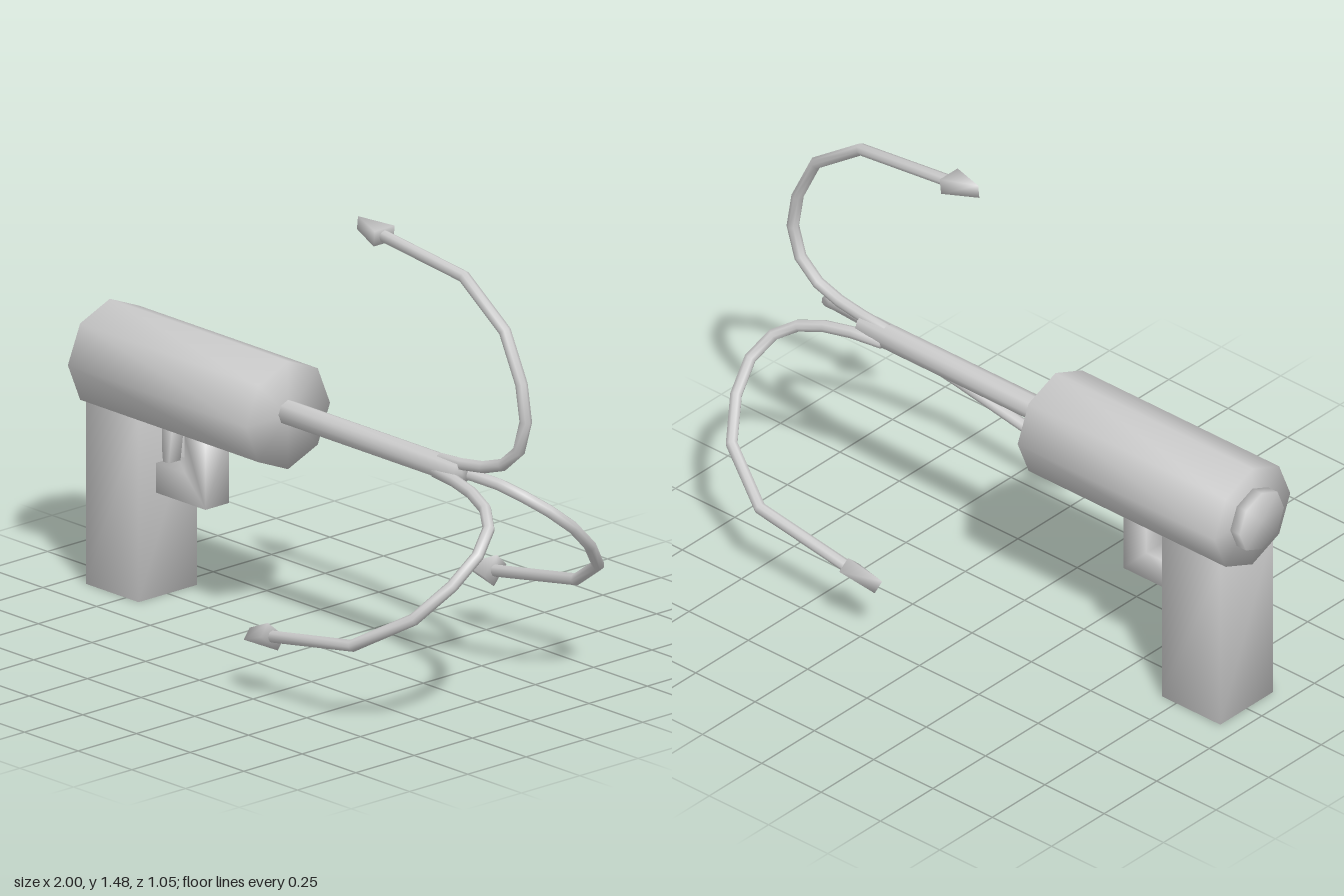
import * as THREE from 'three';
import { mergeVertices } from 'three/addons/utils/BufferGeometryUtils.js';

const material = new THREE.MeshStandardMaterial({ color: 0xcccccc });

// Share all corners so the shading rolls softly over the edges
function soften(geometry) {
  geometry.deleteAttribute('uv');
  geometry.deleteAttribute('normal');
  const merged = mergeVertices(geometry, 1e-4);
  merged.computeVertexNormals();
  return merged;
}

function part(name, geometry) {
  const mesh = new THREE.Mesh(soften(geometry), material);
  mesh.name = name;
  return mesh;
}

// Octagonal bar along x
function bar(name, x0, x1, y, radius) {
  const g = new THREE.CylinderGeometry(radius, radius, x1 - x0, 8);
  g.rotateZ(Math.PI / 2).translate((x0 + x1) / 2, y, 0);
  return part(name, g);
}

// Side outline in x, y extruded evenly about z = 0
function slab(name, outline, width) {
  const shape = new THREE.Shape(outline.map(([x, y]) => new THREE.Vector2(x, y)));
  const g = new THREE.ExtrudeGeometry(shape, { depth: width, bevelEnabled: false });
  return part(name, g.translate(0, 0, -width / 2));
}

// Path with straight segments and mitred bends
class Polyline extends THREE.Curve {
  constructor(points) {
    super();
    this.points = points;
  }
  getPoint(t) {
    const n = this.points.length - 1;
    const i = Math.min(Math.floor(t * n + 1e-6), n - 1);
    return this.points[i].clone().lerp(this.points[i + 1], t * n - i);
  }
  getPointAt(u) {
    return this.getPoint(u);
  }
  getTangentAt(u) {
    const p = this.points, n = p.length - 1, i = Math.round(u * n);
    const sum = new THREE.Vector3();
    for (const k of [i - 1, i]) {
      if (k >= 0 && k < n) sum.add(p[k + 1].clone().sub(p[k]).normalize());
    }
    // The doubled end points take the direction of their neighbour
    if (sum.lengthSq() === 0) return this.getTangentAt((i === 0 ? 1 : n - 1) / n);
    return sum.normalize();
  }
}

// Bent prong, its doubled end rings collapsed to close the tube
function prong(name, coords) {
  const pts = coords.map((c) => new THREE.Vector3(...c));
  const path = [pts[0], ...pts, pts[pts.length - 1]];
  const sides = 8, segments = path.length - 1;
  const g = new THREE.TubeGeometry(new Polyline(path), segments, 0.02, sides);
  const pos = g.attributes.position;
  for (let j = 0; j <= sides; j++) {
    pos.setXYZ(j, ...path[0].toArray());
    pos.setXYZ(segments * (sides + 1) + j, ...path[segments].toArray());
  }
  return part(name, g);
}

// Wedge barb: a box pinched to an upright edge at its tip
function barb(name, end, before, up) {
  const g = new THREE.BoxGeometry(0.085, 0.052, 0.125);
  const pos = g.attributes.position;
  for (let i = 0; i < pos.count; i++) {
    if (pos.getZ(i) > 0) pos.setXYZ(i, 0, pos.getY(i) * 0.85, pos.getZ(i));
  }
  g.translate(0, 0, 0.055);
  const mesh = part(name, g);
  const a = new THREE.Vector3(...end);
  const dir = a.clone().sub(new THREE.Vector3(...before)).normalize();
  const side = new THREE.Vector3().crossVectors(up, dir).normalize();
  const top = new THREE.Vector3().crossVectors(dir, side);
  mesh.quaternion.setFromRotationMatrix(new THREE.Matrix4().makeBasis(side, top, dir));
  mesh.position.copy(a);
  return mesh;
}

function hook(name, coords, up) {
  const group = new THREE.Group();
  group.name = name;
  const n = coords.length;
  group.add(prong(name + 'Prong', coords));
  group.add(barb(name + 'Barb', coords[n - 1], coords[n - 2], up));
  return group;
}

export function createModel() {
  const model = new THREE.Group();
  model.name = 'grapplingLauncher';

  // Barrel, rear cap and shaft
  model.add(bar('barrel', -0.96, -0.13, 0.735, 0.18));
  model.add(bar('rearCap', -1, -0.95, 0.735, 0.105));
  model.add(bar('shaft', -0.15, 0.68, 0.745, 0.041));

  // Grip, trigger guard and trigger
  const grip = new THREE.BoxGeometry(0.245, 0.605, 0.25);
  model.add(part('grip', grip.translate(-0.813, 0.3025, 0)));
  model.add(slab('triggerGuard', [
    [-0.7, 0.348], [-0.46, 0.348], [-0.46, 0.572],
    [-0.557, 0.572], [-0.557, 0.447], [-0.7, 0.447],
  ], 0.1));
  model.add(slab('trigger', [
    [-0.685, 0.445], [-0.658, 0.445], [-0.64, 0.58], [-0.7, 0.58],
  ], 0.05));

  // Upper hook
  model.add(hook('upperHook', [
    [0.58, 0.768, 0], [0.68, 0.775, 0], [0.78, 0.79, 0], [0.87, 0.82, 0],
    [0.945, 0.885, 0], [0.977, 0.99, 0], [0.957, 1.11, 0],
    [0.88, 1.268, 0], [0.69, 1.402, 0], [0.31, 1.445, 0],
  ], new THREE.Vector3(0, 1, 0)));

  // Mirrored lower hooks
  const lower = [
    [0.58, 0.73, 0.022], [0.69, 0.73, 0.04], [0.79, 0.72, 0.06], [0.88, 0.695, 0.085],
    [0.945, 0.655, 0.13], [0.975, 0.59, 0.205], [0.955, 0.505, 0.295],
    [0.885, 0.4, 0.395], [0.69, 0.283, 0.48], [0.31, 0.218, 0.477],
  ];
  for (const s of [1, -1]) {
    model.add(hook(
      s > 0 ? 'frontLowerHook' : 'backLowerHook',
      lower.map(([x, y, z]) => [x, y, z * s]),
      new THREE.Vector3(0, -0.74, 0.67 * s),
    ));
  }
  return model;
}
